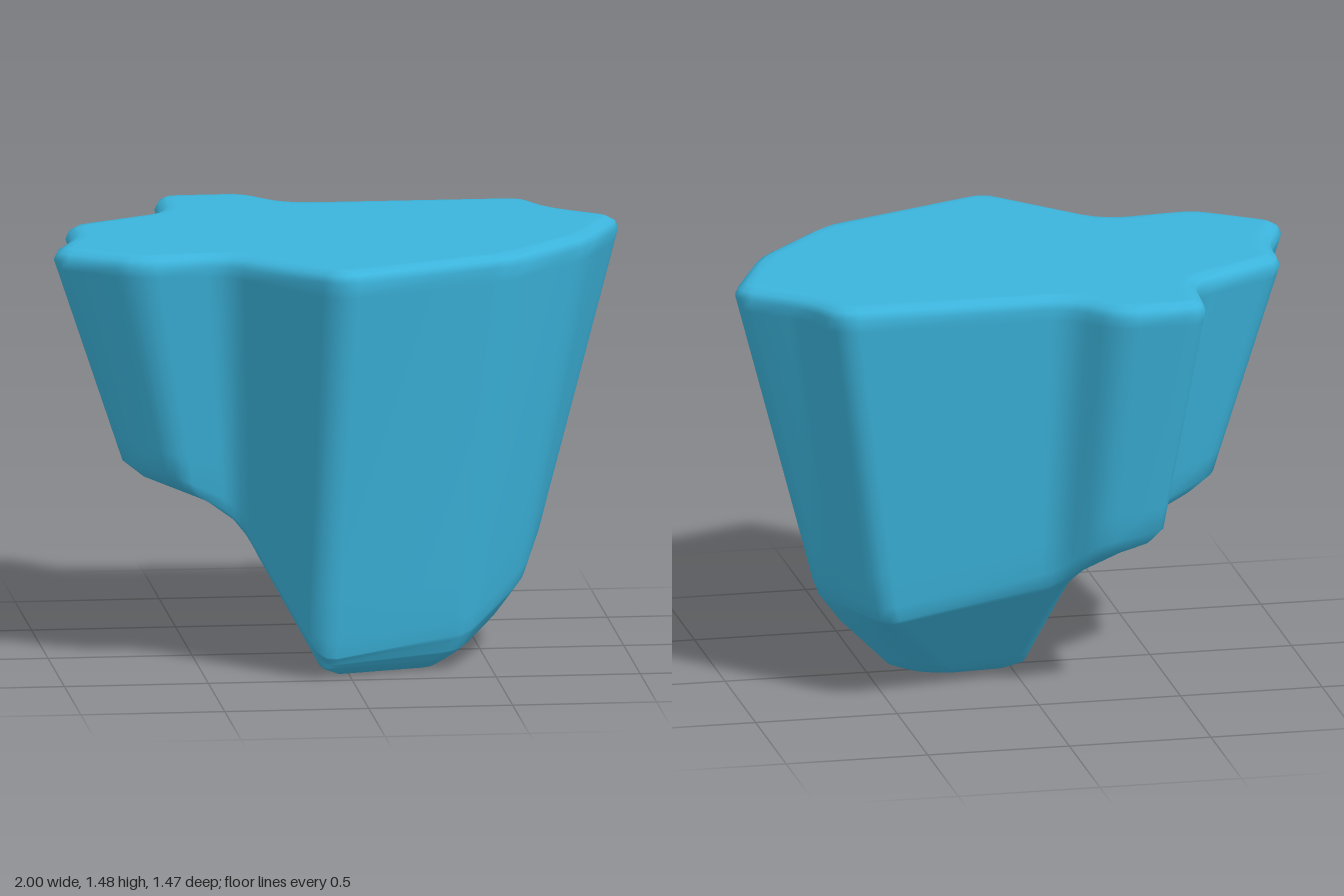
import * as THREE from 'three';

// Corners of the rock, counter-clockwise seen from above, starting at the front tip.
// Rim of the flat top: x, z
const TOP = [
  [-0.07, 0.75], [0.56, 0.49], [0.85, 0.18], [1.02, -0.19], [0.8, -0.37],
  [0.72, -0.55], [-0.1, -0.56], [-0.23, -0.735], [-0.55, -0.735], [-0.57, -0.43],
  [-0.92, -0.24], [-0.92, -0.03], [-1.02, 0.2], [-0.74, 0.4], [-0.42, 0.37],
];
// Lower end of the cliff walls: x, y, z
const RIM = [
  [-0.11, 0.07, 0.5], [0.42, 0.14, 0.38], [0.64, 0.28, 0.14], [0.72, 0.36, -0.17], [0.63, 0.34, -0.28],
  [0.54, 0.31, -0.44], [-0.08, 0.42, -0.44], [-0.2, 0.55, -0.57], [-0.43, 0.59, -0.57], [-0.43, 0.6, -0.33],
  [-0.68, 0.67, -0.19], [-0.69, 0.68, -0.03], [-0.76, 0.69, 0.15], [-0.57, 0.65, 0.28], [-0.37, 0.54, 0.25],
];
// Underside shoulder, where the overhang meets the root: x, y, z
const MID = [
  [-0.1, 0.045, 0.47], [0.39, 0.07, 0.36], [0.55, 0.16, 0.13], [0.63, 0.24, -0.14], [0.56, 0.24, -0.23],
  [0.47, 0.25, -0.37], [-0.08, 0.33, -0.36], [-0.14, 0.4, -0.36], [-0.19, 0.45, -0.3], [-0.23, 0.48, -0.2],
  [-0.27, 0.49, -0.08], [-0.29, 0.5, 0], [-0.31, 0.5, 0.07], [-0.33, 0.5, 0.17], [-0.32, 0.43, 0.26],
];
// Outline of the foot: x, z
const FOOT = [
  [-0.09, 0.455], [0.33, 0.34], [0.42, 0.13], [0.43, -0.02], [0.36, -0.09],
  [0.25, -0.13], [0, -0.11], [-0.03, -0.09], [-0.05, -0.05], [-0.06, 0.01],
  [-0.07, 0.09], [-0.08, 0.17], [-0.09, 0.24], [-0.1, 0.32], [-0.1, 0.39],
];

const N = TOP.length;
const flat = (list, y) => list.map(([x, z]) => new THREE.Vector3(x, y, z));
const solid = (list) => list.map((p) => new THREE.Vector3(...p));
const mix = (a, b, t) => a.map((p, i) => p.clone().lerp(b[i], t));

// Round every corner; the proportions come from the top outline
function roundCorners(ring, guide) {
  const out = [];
  for (let i = 0; i < N; i++) {
    const a = (i + N - 1) % N, b = (i + 1) % N;
    const ta = Math.min(0.4, 0.075 / guide[i].distanceTo(guide[a]));
    const tb = Math.min(0.4, 0.075 / guide[i].distanceTo(guide[b]));
    const start = ring[i].clone().lerp(ring[a], ta);
    const end = ring[i].clone().lerp(ring[b], tb);
    for (const t of [0, 0.33, 0.67, 1]) {
      const p = start.clone().lerp(ring[i], t);
      out.push(p.lerp(ring[i].clone().lerp(end, t), t));
    }
  }
  return out;
}

// Move a ring inwards along its own horizontal normals
function inset(ring, d, y) {
  const n = ring.length;
  return ring.map((p, i) => {
    const t = ring[(i + 1) % n].clone().sub(ring[(i + n - 1) % n]).normalize();
    return new THREE.Vector3(p.x + t.z * d, y, p.z - t.x * d);
  });
}

function rockGeometry() {
  const guide = flat(TOP, 1.44);
  const top = roundCorners(guide, guide);
  const rim = roundCorners(solid(RIM), guide);
  const mid = roundCorners(solid(MID), guide);
  const foot = roundCorners(flat(FOOT, 0.03), guide);
  const footCentre = new THREE.Vector3(0.16, 0, 0.16);
  const sole = foot.map((p) => p.clone().lerp(footCentre, 0.22).setY(0));

  // Rings from the top face down to the sole
  const rings = [
    inset(top, 0.07, 1.48), inset(top, 0.04, 1.48), inset(top, 0.012, 1.465),
    top, mix(top, rim, 0.04), mix(top, rim, 0.85), mix(top, rim, 0.96),
    mix(rim, mid, 0.13), mix(rim, mid, 0.35), mid, mix(mid, foot, 0.2),
    mix(mid, foot, 0.85), foot, sole,
  ];
  const n = top.length, points = rings.flat(), index = [];
  for (let r = 0; r < rings.length - 1; r++) {
    for (let i = 0; i < n; i++) {
      const j = (i + 1) % n, u = r * n, l = u + n;
      index.push(l + i, l + j, u + j, l + i, u + j, u + i);
    }
  }
  // Close the top and the sole
  const last = (rings.length - 1) * n, c = points.length;
  points.push(new THREE.Vector3(0, 1.48, 0), footCentre);
  for (let i = 0; i < n; i++) {
    const j = (i + 1) % n;
    index.push(c, i, j, c + 1, last + j, last + i);
  }

  const g = new THREE.BufferGeometry().setFromPoints(points);
  g.setIndex(index);
  g.computeVertexNormals();
  return g;
}

export function createModel() {
  const group = new THREE.Group();
  group.name = 'cliffRock';
  const blue = new THREE.MeshStandardMaterial({ color: 0x3cb4dc });
  blue.name = 'rock blue';
  const rock = new THREE.Mesh(rockGeometry(), blue);
  rock.name = 'rockBody';
  group.add(rock);
  return group;
}
